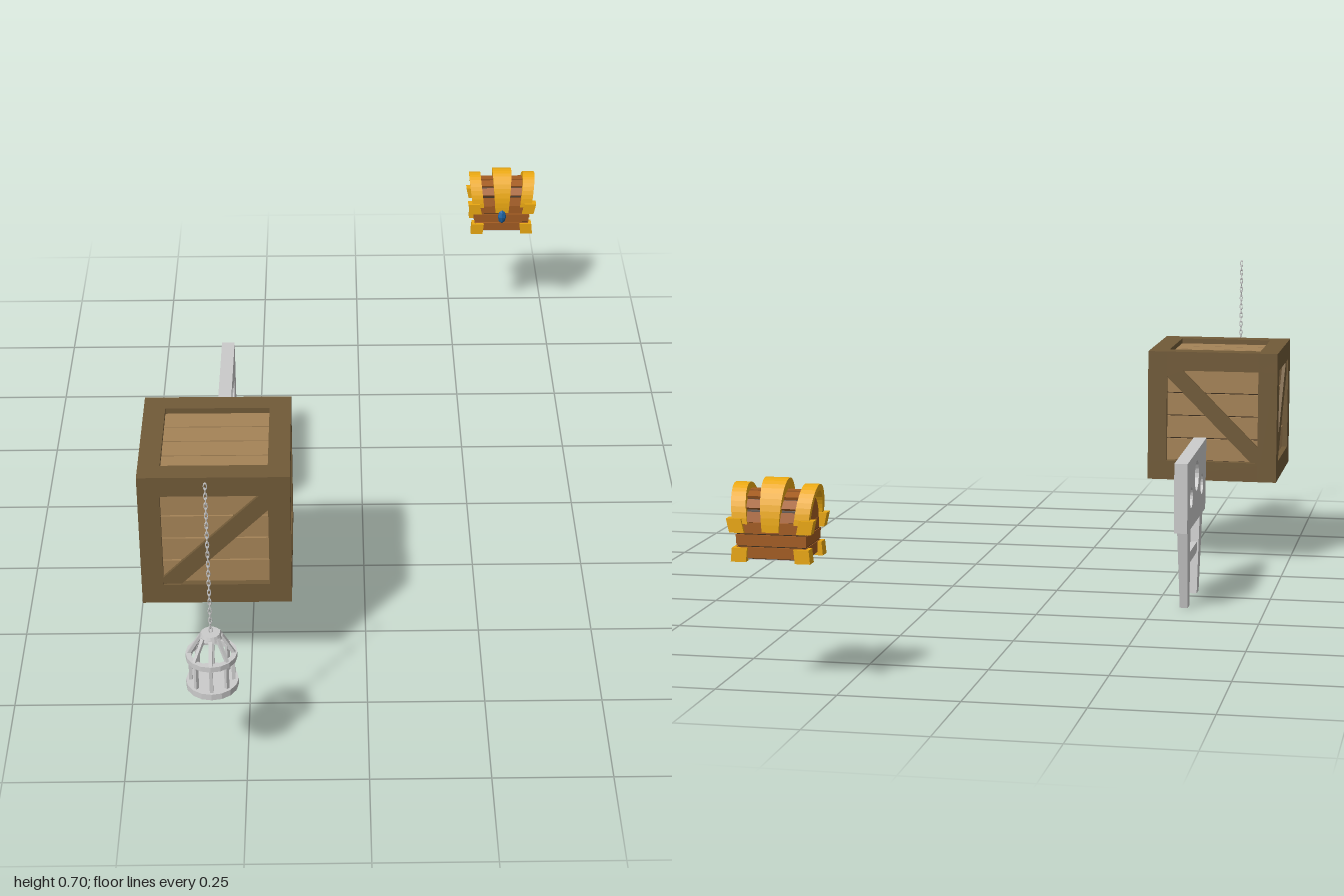
import * as THREE from 'three';

const mat = (color) => new THREE.MeshStandardMaterial({ color, flatShading: true, side: THREE.DoubleSide });
const GREY = mat(0xcccccc), FRAME = mat(0x715a38), PLANK = mat(0xa58357), DARK = mat(0x3a2a18);
const GOLD = mat(0xeaa812), WOOD = mat(0xa35c22), BLUE = mat(0x1d62a0);

function add(parent, name, geo, material, x = 0, y = 0, z = 0) {
  const m = new THREE.Mesh(geo, material);
  m.name = name;
  m.position.set(x, y, z);
  parent.add(m);
  return m;
}

function group(parent, name, x = 0, y = 0, z = 0) {
  const g = new THREE.Group();
  g.name = name;
  g.position.set(x, y, z);
  parent.add(g);
  return g;
}

const box = (w, h, d) => new THREE.BoxGeometry(w, h, d);
const polygon = (pts) => new THREE.Shape(pts.map(([x, y]) => new THREE.Vector2(x, y)));

// Extrude a side profile across x, centred (profile right = -z)
function acrossX(shape, width) {
  const g = new THREE.ExtrudeGeometry(shape, { depth: width, bevelEnabled: false, curveSegments: 10 });
  return g.translate(0, 0, -width / 2).rotateY(Math.PI / 2);
}

// Change each vertex by a rule
function bend(geo, rule) {
  const p = geo.attributes.position, v = new THREE.Vector3();
  for (let i = 0; i < p.count; i++) {
    rule(v.fromBufferAttribute(p, i));
    p.setXYZ(i, v.x, v.y, v.z);
  }
  geo.computeVertexNormals();
  return geo;
}

function buildCrate(root) {
  const S = 0.315, B = 0.046, h = S / 2, p = h - B;
  const crate = group(root, 'crate', -0.316, 0.366, 0.513);
  add(crate, 'crateCore', box(S - 0.036, S - 0.036, S - 0.036), DARK);
  add(crate, 'crateBottom', box(S - 0.01, 0.03, S - 0.01), FRAME, 0, -h + 0.015, 0);
  // twelve edge beams
  const e = h - B / 2;
  for (const a of [-e, e]) for (const b of [-e, e]) {
    add(crate, 'edgeBeam', box(S, B, B), FRAME, 0, a, b);
    add(crate, 'edgeBeam', box(B, S, B), FRAME, a, 0, b);
    add(crate, 'edgeBeam', box(B, B, S), FRAME, a, b, 0);
  }
  // planked faces; s = direction of the diagonal brace, 0 for none
  const faces = [[0, 0, 1], [0, Math.PI / 2, -1], [0, Math.PI, -1], [0, -Math.PI / 2, 1], [-Math.PI / 2, 0, 0]];
  for (const [rx, ry, s] of faces) {
    const face = group(crate, 'crateFace');
    face.rotation.set(rx, ry, 0);
    for (let i = 0; i < 4; i++)
      add(face, 'plank', box(2 * p, p / 2 - 0.003, 0.012), PLANK, 0, p * (-0.75 + i * 0.5), h - 0.018);
    if (s) {
      const pts = [[-p, -p], [-p + 0.038, -p], [p, p - 0.038], [p, p], [p - 0.016, p], [-p, -p + 0.016]];
      const brace = polygon(pts.map(([x, y]) => [x, s * y]));
      add(face, 'diagonalBrace', new THREE.ExtrudeGeometry(brace, { depth: 0.014, bevelEnabled: false }), FRAME, 0, 0, h - 0.018);
    }
  }
}

function buildStocks(root) {
  const stocks = group(root, 'stocks', -0.316, 0, 0);
  // board with a head hole and two hand holes
  const board = polygon([[-0.124, 0.184], [0.187, 0.184], [0.187, 0.342], [-0.136, 0.35]]);
  for (const [u, y, r] of [[0.03, 0.289, 0.035], [-0.06, 0.254, 0.024], [0.12, 0.254, 0.024]])
    board.holes.push(new THREE.Path().absarc(u, y, r, 0, Math.PI * 2, true));
  add(stocks, 'board', acrossX(board, 0.03), GREY);
  // splayed legs, thinner toward the floor
  const legs = [
    [[-0.064, 0], [-0.029, 0], [-0.051, 0.19], [-0.099, 0.19]],
    [[0.094, 0], [0.123, 0], [0.158, 0.19], [0.11, 0.19]],
  ];
  for (const pts of legs)
    add(stocks, 'leg', bend(acrossX(polygon(pts), 0.024), (v) => { v.x *= 0.76 + v.y * 1.25; }), GREY);
  add(stocks, 'crossBar', box(0.014, 0.024, 0.15), GREY, 0, 0.108, -0.03);
}

function buildCage(root) {
  const cage = group(root, 'hangingCage', -0.316, 0, 0.948);
  add(cage, 'cageFloor', new THREE.CylinderGeometry(0.053, 0.053, 0.014, 16), GREY, 0, 0.216, 0);
  // flat hoop around the bars
  const hoop = [[0.041, 0.278], [0.052, 0.278], [0.052, 0.29], [0.041, 0.29], [0.041, 0.278]];
  add(cage, 'hoop', new THREE.LatheGeometry(hoop.map(([x, y]) => new THREE.Vector2(x, y)), 16), GREY);
  add(cage, 'cageCap', new THREE.CylinderGeometry(0.019, 0.023, 0.012, 16), GREY, 0, 0.333, 0);
  // upright bars and sloping roof bars
  for (let i = 0; i < 8; i++) {
    const side = group(cage, 'cageSide');
    side.rotation.y = i * Math.PI / 4;
    add(side, 'uprightBar', box(0.007, 0.07, 0.007), GREY, 0, 0.25, 0.043);
    const roof = add(side, 'roofBar', box(0.007, 0.054, 0.006), GREY, 0, 0.309, 0.034);
    roof.rotation.x = -Math.atan2(0.026, 0.046);
  }
  // chain of alternating links
  const link = new THREE.TorusGeometry(0.0032, 0.0011, 5, 10).scale(1, 2.3, 1);
  for (let i = 0; i < 31; i++)
    add(cage, 'chainLink', link, GREY, 0, 0.345 + i * 0.0114, 0).rotation.y = (i % 2) * Math.PI / 2;
}

// Arched strap: half depth a, rise b above y0, thickness t, legs reaching down by drop
function archGeometry(a, b, t, y0, drop, width) {
  const s = new THREE.Shape();
  s.moveTo(a, y0 - drop).lineTo(a, y0);
  s.absellipse(0, y0, a, b, 0, Math.PI, false);
  s.lineTo(-a, y0 - drop);
  if (t) {
    s.lineTo(-a + t, y0 - drop).lineTo(-a + t, y0);
    s.absellipse(0, y0, a - t, b - t, Math.PI, 0, true);
    s.lineTo(a - t, y0 - drop);
  }
  s.closePath();
  return acrossX(s, width);
}

function buildChest(root) {
  const chest = group(root, 'treasureChest', 0.381, 0, -0.942);
  const y0 = 0.335;
  const flare = (v) => { v.x *= 1 + (v.y - 0.26) * 0.8; };
  // body: dark core, planks and grey underside
  add(chest, 'bodyCore', bend(box(0.134, 0.07, 0.094).translate(0, 0.3, 0), flare), DARK);
  add(chest, 'underside', box(0.132, 0.004, 0.092), GREY, 0, 0.265, 0);
  for (let i = 0; i < 3; i++) {
    const y = 0.278 + i * 0.0245;
    for (const s of [-1, 1]) {
      add(chest, 'bodyPlank', bend(box(0.138, 0.022, 0.006).translate(0, y, s * 0.048), flare), WOOD);
      add(chest, 'endPlank', bend(box(0.006, 0.022, 0.09).translate(s * 0.066, y, 0), flare), WOOD);
    }
  }
  // lid: arched core with staves, wooden ends
  add(chest, 'lidCore', archGeometry(0.044, 0.056, 0, y0, 0, 0.136), DARK);
  for (let i = 0; i < 7; i++) {
    const t = (i + 0.5) * Math.PI / 7;
    const stave = add(chest, 'lidStave', box(0.13, 0.006, 0.0205), WOOD, 0, y0 + 0.059 * Math.sin(t), 0.047 * Math.cos(t));
    stave.rotation.x = Math.atan2(0.047 * Math.cos(t), 0.059 * Math.sin(t));
  }
  for (const s of [-1, 1]) {
    add(chest, 'lidEnd', archGeometry(0.038, 0.05, 0, y0, 0, 0.006), WOOD, s * 0.069, 0, 0);
    // gold strap leaning outward at each end of the lid
    const strap = bend(archGeometry(0.054, 0.075, 0.013, y0, 0, 0.03), (v) => { v.x += s * (v.y - y0) * 0.12; });
    add(chest, 'endStrap', strap, GOLD, s * 0.062, 0, 0);
    // gold corners at the rim and the feet
    for (const f of [-1, 1]) {
      const rim = box(0.03, 0.028, 0.022).translate(s * 0.071, 0.332, f * 0.047);
      add(chest, 'rimCorner', bend(rim, (v) => { v.x += s * (v.y - 0.332) * 0.22; }), GOLD);
      const foot = box(0.031, 0.028, 0.026).translate(s * 0.064, 0.274, f * 0.045);
      add(chest, 'foot', bend(foot, (v) => { v.x -= s * (v.y - 0.274) * 0.1; }), GOLD);
    }
  }
  // middle strap, wider at the top
  const mid = bend(archGeometry(0.056, 0.086, 0.02, y0, 0.015, 0.034), (v) => { v.x *= 1 + (v.y - 0.32) * 4.5; });
  add(chest, 'middleStrap', mid, GOLD);
  // faceted lock gem
  add(chest, 'lockPlate', box(0.016, 0.024, 0.006), DARK, 0, 0.312, 0.056);
  add(chest, 'lockGem', new THREE.OctahedronGeometry(1, 1).scale(0.011, 0.019, 0.009), BLUE, 0, 0.311, 0.059);
}

export function createModel() {
  const root = new THREE.Group();
  root.name = 'dungeonProps';
  buildCrate(root);
  buildStocks(root);
  buildCage(root);
  buildChest(root);
  return root;
}
